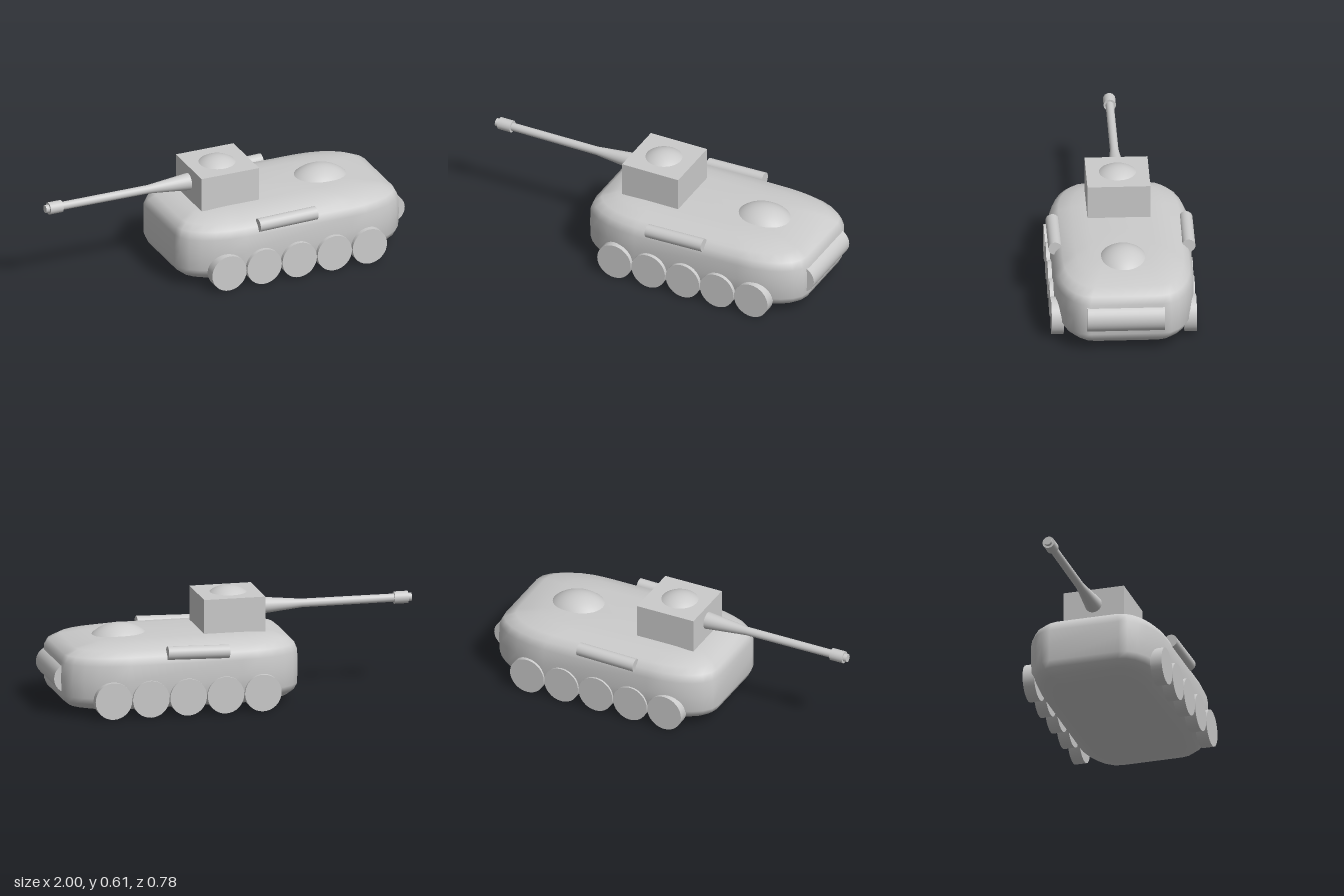
import * as THREE from 'three';

export function createModel() {
  const model = new THREE.Group();
  const material = new THREE.MeshStandardMaterial({ color: 0xcccccc });

  function add(name, geometry, x = 0, y = 0, z = 0) {
    const mesh = new THREE.Mesh(geometry, material);
    mesh.name = name;
    mesh.position.set(x, y, z);
    model.add(mesh);
    return mesh;
  }

  // Hull: rounded plan outlines stacked upward, each [y, xMin, xMax, half width]
  const sections = [
    [0.012, 0.3, 0.3, 0],
    [0.012, -0.14, 0.74, 0.17],
    [0.022, -0.21, 0.83, 0.25],
    [0.045, -0.28, 0.91, 0.32],
    [0.075, -0.315, 0.945, 0.35],
    [0.11, -0.33, 0.96, 0.37],
    [0.2, -0.332, 0.965, 0.37],
    [0.285, -0.33, 0.96, 0.37],
    [0.325, -0.315, 0.94, 0.352],
    [0.355, -0.28, 0.88, 0.32],
    [0.377, -0.21, 0.75, 0.25],
    [0.387, -0.13, 0.62, 0.17],
    [0.388, 0.25, 0.25, 0],
  ];
  const perCorner = 7;
  const ringSize = perCorner * 4;
  const positions = [];
  const indices = [];
  sections.forEach(([y, x0, x1, w]) => {
    const rx = Math.min(0.34 * w / 0.37, (x1 - x0) / 2);
    const rz = w * 0.48;
    for (let corner = 0; corner < 4; corner++) {
      const sx = corner === 0 || corner === 3 ? 1 : -1;
      const sz = corner < 2 ? 1 : -1;
      for (let k = 0; k < perCorner; k++) {
        const a = (corner + k / (perCorner - 1)) * Math.PI / 2;
        const cx = sx > 0 ? x1 - rx : x0 + rx;
        positions.push(cx + rx * Math.cos(a), y, sz * (w - rz) + rz * Math.sin(a));
      }
    }
  });
  for (let j = 0; j < sections.length - 1; j++) {
    for (let i = 0; i < ringSize; i++) {
      const n = (i + 1) % ringSize;
      const a = j * ringSize + i, b = j * ringSize + n;
      const c = a + ringSize, d = b + ringSize;
      indices.push(a, c, b, b, c, d);
    }
  }
  const hull = new THREE.BufferGeometry();
  hull.setAttribute('position', new THREE.Float32BufferAttribute(positions, 3));
  hull.setIndex(indices);
  hull.computeVertexNormals();
  add('hull', hull);

  // Turret and its shallow hatch dome
  add('turret', new THREE.BoxGeometry(0.335, 0.19, 0.335), 0.003, 0.477, 0.004);
  add('turretHatch', new THREE.SphereGeometry(0.164, 32, 8, 0, Math.PI * 2, 0, 0.7), 0, 0.441, 0.004);

  // Rear deck dome, stretched along the hull
  const rearDome = new THREE.SphereGeometry(0.169, 32, 10, 0, Math.PI * 2, 0, 1.1);
  add('rearHatch', rearDome, 0.595, 0.266, 0.002).scale.x = 1.17;

  // Gun: flared root, long barrel and muzzle collar turned about one axis
  const gunProfile = [
    [0.047, 0.14], [0.047, 0.16], [0.036, 0.27], [0.023, 0.4], [0.022, 0.905],
    [0.033, 0.905], [0.033, 0.98], [0.022, 0.98], [0.022, 1.0], [0, 1.0],
  ];
  // Each run gets its own lathe so that its edges stay sharp
  const runs = [gunProfile.slice(0, 5), ...[4, 5, 6, 7, 8].map(i => gunProfile.slice(i, i + 2))];
  const gun = new THREE.Group();
  gun.name = 'gun';
  runs.forEach((run) => {
    const points = run.map(([r, d]) => new THREE.Vector2(r, d));
    const part = new THREE.Mesh(new THREE.LatheGeometry(points, 24), material);
    part.name = 'gunSection';
    gun.add(part);
  });
  gun.position.set(0, 0.485, 0.002);
  gun.rotation.z = Math.PI / 2;
  model.add(gun);

  // Five road wheels and one stowage tube on each side
  for (const side of [1, -1]) {
    const label = side > 0 ? 'front' : 'back';
    for (let i = 0; i < 5; i++) {
      const wheel = new THREE.CylinderGeometry(0.1, 0.1, 0.064, 32);
      wheel.rotateX(Math.PI / 2);
      add(`${label}Wheel${i + 1}`, wheel, -0.1 + i * 0.204, 0.1, side * 0.354 + 0.005);
    }
    const tube = new THREE.CylinderGeometry(0.036, 0.036, 0.335, 24);
    tube.rotateZ(Math.PI / 2);
    add(`${label}Tube`, tube, 0.25, 0.337, side * 0.355).rotation.z = 0.025;
  }

  // Large drum set across the end of the hull
  const drum = new THREE.CylinderGeometry(0.08, 0.08, 0.412, 32);
  drum.rotateX(Math.PI / 2);
  add('endDrum', drum, 0.92, 0.198, 0.004);

  return model;
}
